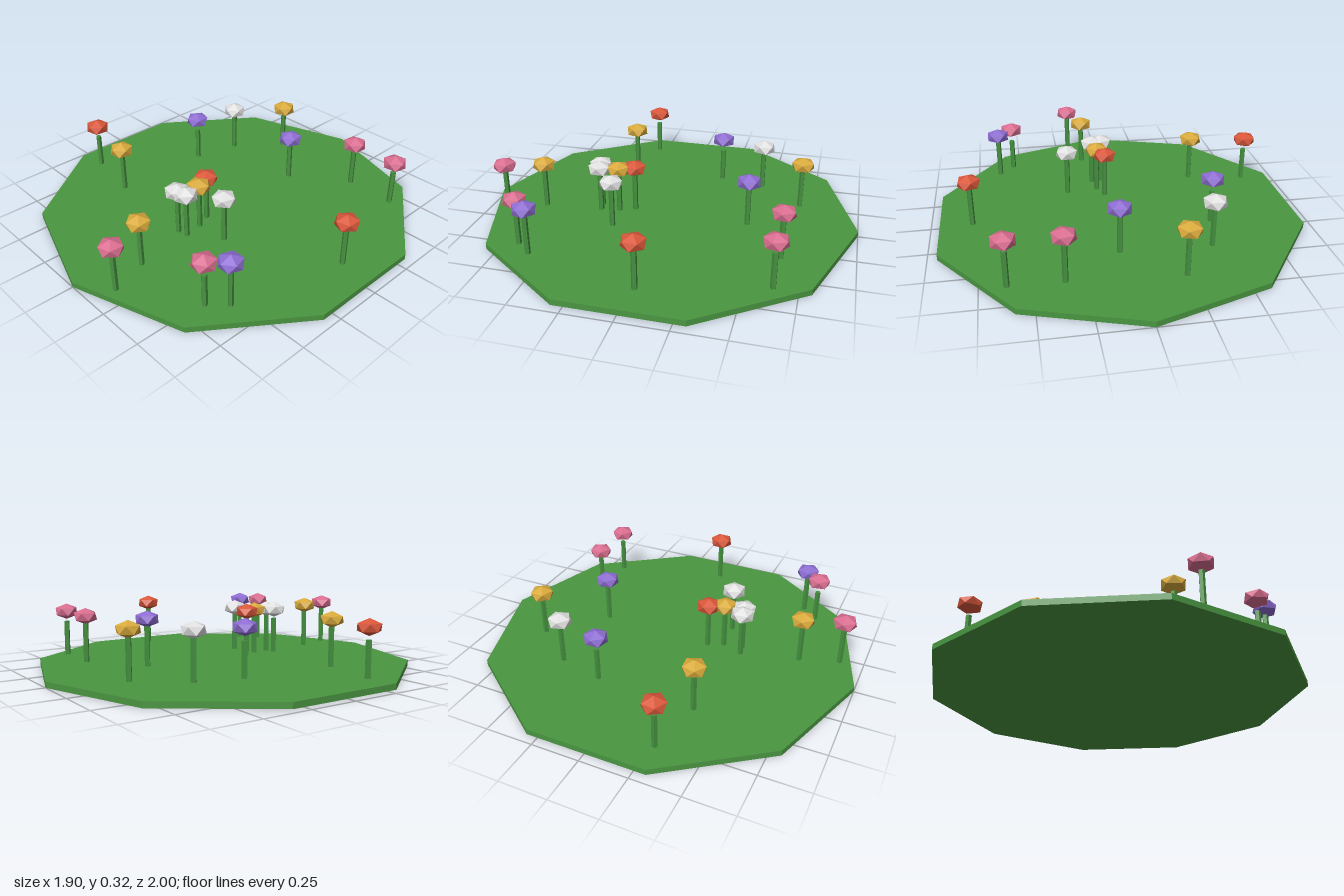
import * as THREE from 'three';

const mat = (name, color) => {
  const m = new THREE.MeshStandardMaterial({ color, flatShading: true });
  m.name = name;
  return m;
};

export function createModel() {
  const model = new THREE.Group();
  model.name = 'flowerMeadow';

  const grass = mat('grassGreen', 0x4a9641);
  const stemGreen = mat('stemGreen', 0x469240);
  const petals = {
    red: mat('petalRed', 0xd9573a),
    yellow: mat('petalYellow', 0xd9aa3c),
    white: mat('petalWhite', 0xe0e0e0),
    purple: mat('petalPurple', 0x8e6dd2),
    pink: mat('petalPink', 0xd96d90),
  };

  // Ten-sided patch of grass
  const ground = new THREE.Mesh(new THREE.CylinderGeometry(1, 1, 0.03, 10), grass);
  ground.name = 'grassPatch';
  ground.position.y = 0.015;
  model.add(ground);

  // Flattened, point-up icosahedron shared by all blossoms
  const headGeo = new THREE.IcosahedronGeometry(0.067, 0);
  headGeo.rotateZ(-Math.atan(2 / (1 + Math.sqrt(5))));
  headGeo.scale(1, 0.64, 1);

  // Blossom colour, x, z and top of the stem
  const flowers = [
    ['yellow', -0.22, -0.68, 0.24], ['pink', 0.35, -0.64, 0.25],
    ['pink', 0.62, -0.635, 0.22], ['white', -0.41, -0.445, 0.24],
    ['purple', 0.06, -0.43, 0.24], ['purple', -0.47, -0.2, 0.21],
    ['red', 0.78, -0.03, 0.25], ['red', 0.04, 0.19, 0.25],
    ['white', 0.245, 0.255, 0.25], ['yellow', 0.075, 0.27, 0.24],
    ['white', 0.035, 0.38, 0.225], ['white', 0.09, 0.37, 0.24],
    ['red', -0.8, 0.28, 0.215], ['yellow', -0.49, 0.335, 0.24],
    ['purple', 0.62, 0.565, 0.24], ['pink', 0.54, 0.65, 0.205],
    ['yellow', 0.115, 0.68, 0.25], ['pink', 0.18, 0.88, 0.25],
  ];

  flowers.forEach(([color, x, z, top], i) => {
    const flower = new THREE.Group();
    flower.name = `${color}Flower${i + 1}`;
    flower.position.set(x, 0, z);

    const length = top - 0.02;
    const stem = new THREE.Mesh(new THREE.CylinderGeometry(0.015, 0.015, length, 5), stemGreen);
    stem.name = 'stem';
    stem.position.y = 0.02 + length / 2;

    const head = new THREE.Mesh(headGeo, petals[color]);
    head.name = 'blossom';
    head.position.y = 0.275;
    head.rotation.y = i * 2.4; // each blossom turned differently

    flower.add(stem, head);
    model.add(flower);
  });

  return model;
}
